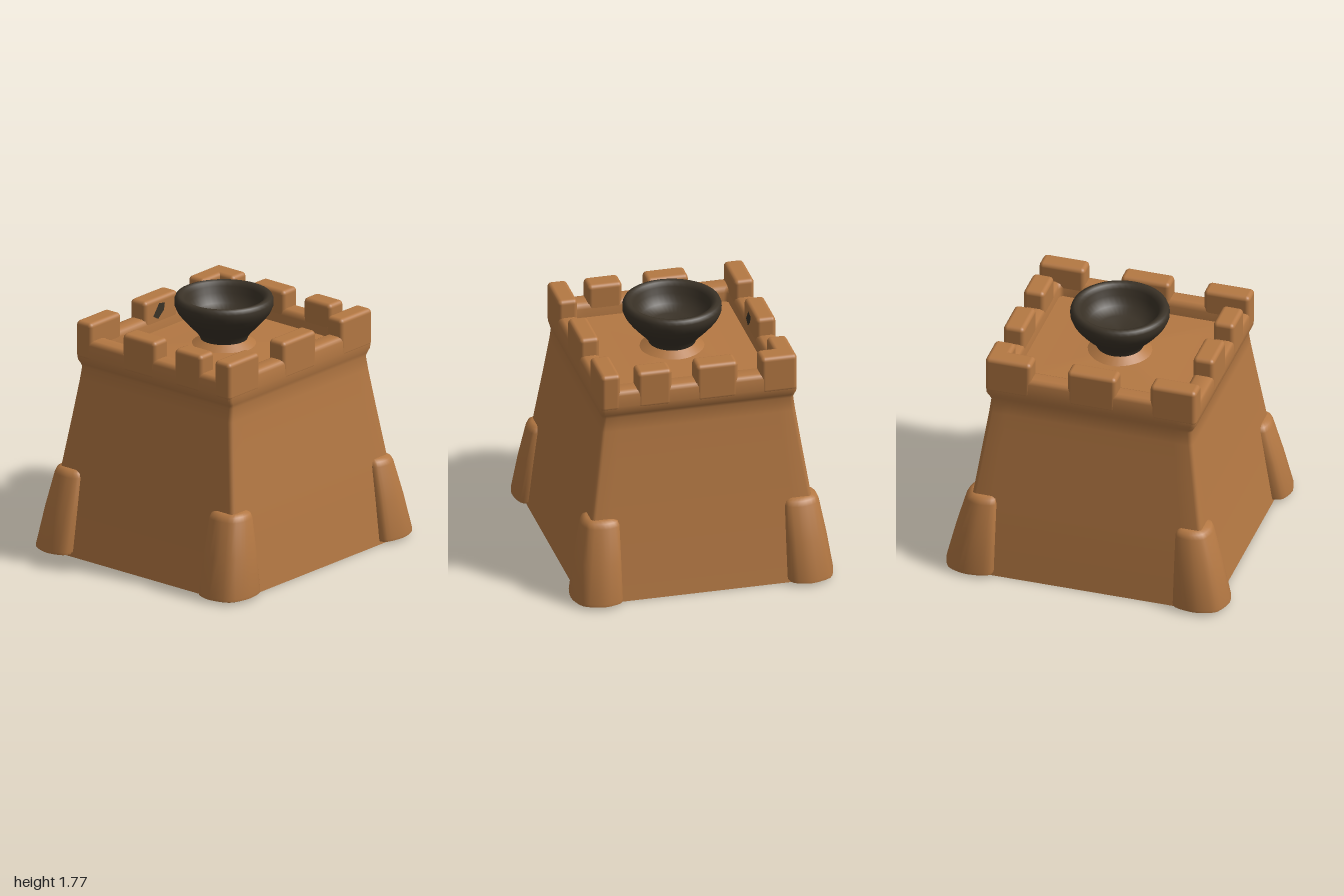
import * as THREE from 'three';
import { toCreasedNormals } from 'three/addons/utils/BufferGeometryUtils.js';
import { RoundedBoxGeometry } from 'three/addons/geometries/RoundedBoxGeometry.js';

// Skin a stack of closed rings (each running from +x towards +z), bottom to top
function loft(rings, crease = 1) {
  const n = rings[0].length, index = [];
  for (let i = 0; i < rings.length - 1; i++)
    for (let j = 0; j < n; j++) {
      const a = i * n + j, b = i * n + (j + 1) % n;
      index.push(a, a + n, b, b, a + n, b + n);
    }
  const g = new THREE.BufferGeometry().setFromPoints(rings.flat());
  g.setIndex(index);
  return toCreasedNormals(g, crease);
}

// Horizontal rounded rectangle with half sizes hx, hz
function rectRing(y, hx, hz, radius = 0.03) {
  const r = Math.min(radius, hx * 0.15, hz * 0.15), pts = [];
  const corners = [[1, 1], [-1, 1], [-1, -1], [1, -1]];
  corners.forEach(([sx, sz], k) => {
    const along = k % 2 === 0;
    const before = new THREE.Vector3(sx * hx * (along ? 1 : 0.82), y, sz * hz * (along ? 0.82 : 1));
    const after = new THREE.Vector3(sx * hx * (along ? 0.82 : 1), y, sz * hz * (along ? 1 : 0.82));
    pts.push(before);
    for (let i = 0; i <= 4; i++) {
      const a = (k + i / 4) * Math.PI / 2;
      pts.push(new THREE.Vector3(sx * (hx - r) + r * Math.cos(a), y, sz * (hz - r) + r * Math.sin(a)));
    }
    pts.push(after);
  });
  return pts;
}

export function createModel() {
  const model = new THREE.Group();
  const clay = new THREE.MeshStandardMaterial({ color: 0xb47843, side: THREE.DoubleSide });
  clay.name = 'orange clay';
  const iron = new THREE.MeshStandardMaterial({ color: 0x3a3227, side: THREE.DoubleSide });
  iron.name = 'dark iron';
  const add = (name, geometry, material, parent = model) => {
    const mesh = new THREE.Mesh(geometry, material);
    mesh.name = name;
    parent.add(mesh);
    return mesh;
  };

  // Tapered tower, open underneath, with parapet and sunken roof: y, half x, half z
  const profile = [
    [0, 0.84, 0.9], [0.3, 0.805, 0.852], [0.6, 0.765, 0.805], [0.95, 0.713, 0.755],
    [1.2, 0.678, 0.72], [1.295, 0.667, 0.709], [1.32, 0.673, 0.72], [1.35, 0.681, 0.738],
    [1.39, 0.682, 0.741], [1.47, 0.68, 0.74], [1.493, 0.672, 0.732], [1.502, 0.65, 0.71],
    [1.502, 0.575, 0.625], [1.49, 0.552, 0.602], [1.46, 0.545, 0.595], [1.4, 0.54, 0.59],
    [1.4, 0.53, 0.58], [1.425, 0.2, 0.2], [1.43, 0.001, 0.001],
  ];
  add('towerBody', loft(profile.map(([y, hx, hz]) => rectRing(y, hx, hz))), clay);

  // Merlons on the parapet
  const merlons = new THREE.Group();
  merlons.name = 'merlons';
  model.add(merlons);
  const merlon = (x0, x1, z0, z1) => {
    const g = new RoundedBoxGeometry(x1 - x0, 0.27, z1 - z0, 3, 0.03);
    add('merlon', g, clay, merlons).position.set((x0 + x1) / 2, 1.493, (z0 + z1) / 2);
  };
  for (const [z0, z1] of [[-0.743, -0.42], [-0.165, 0.18], [0.42, 0.743]]) {
    merlon(-0.683, -0.545, z0, z1);
    merlon(0.545, 0.683, z0, z1);
  }
  for (const [z0, z1] of [[-0.743, -0.595], [0.595, 0.743]]) {
    merlon(-0.27, 0.02, z0, z1);
    merlon(0.19, 0.43, z0, z1);
  }
  merlon(-0.683, -0.43, -0.743, -0.595);

  // Corner buttresses: one outline, shrunk towards its inner corner as it rises
  const outline = new THREE.CatmullRomCurve3(
    [[0.6, 0.65], [0.74, 0.63], [0.87, 0.64], [0.905, 0.72], [0.91, 0.83], [0.86, 0.95],
      [0.72, 1], [0.6, 0.965], [0.572, 0.88], [0.572, 0.72]]
      .map(([x, z]) => new THREE.Vector3(x, 0, z)), true, 'catmullrom', 0.4).getPoints(30).slice(0, -1);
  const footRing = (y, kx, kz, inset = 0) => outline.map(p => {
    const x = 0.57 + (p.x - 0.57) * kx, z = 0.63 + (p.z - 0.63) * kz;
    const cx = 0.57 + 0.17 * kx, cz = 0.63 + 0.18 * kz;
    return new THREE.Vector3(x + (cx - x) * inset, y, z + (cz - z) * inset);
  });
  const buttress = loft([
    footRing(0.005, 1, 1, 0.25), footRing(0.022, 1, 1, 0.02), footRing(0.04, 0.995, 0.99),
    footRing(0.3, 0.88, 0.82), footRing(0.54, 0.75, 0.64), footRing(0.572, 0.74, 0.62, 0.08),
    footRing(0.587, 0.73, 0.6, 0.28), footRing(0.59, 0.73, 0.6, 0.99),
  ]);
  for (const sx of [-1, 1])
    for (const sz of [-1, 1]) add('cornerButtress', buttress, clay).scale.set(sx, 1, sz);

  // Clay seat under the bowl
  const seat = new THREE.CylinderGeometry(0.15, 0.24, 0.06, 32);
  add('bowlSeat', seat, clay).position.y = 1.44;

  // Iron bowl with a thick rolled rim
  const bowl = [[0.15, 1.43], [0.165, 1.48], [0.19, 1.515], [0.245, 1.57], [0.285, 1.615],
    [0.318, 1.66], [0.335, 1.7], [0.336, 1.735], [0.326, 1.761], [0.305, 1.769], [0.28, 1.762],
    [0.262, 1.735], [0.25, 1.69], [0.215, 1.63], [0.15, 1.59], [0, 1.575]];
  add('fireBowl', new THREE.LatheGeometry(bowl.map(p => new THREE.Vector2(...p)), 40), iron);

  // Soot mark on the inner face of one merlon
  const soot = new THREE.Shape([[-0.06, -0.03], [-0.01, -0.06], [0.05, -0.01], [0.06, 0.04], [0, 0.05]]
    .map(p => new THREE.Vector2(...p)));
  const mark = add('sootMark', new THREE.ShapeGeometry(soot), iron);
  mark.position.set(-0.541, 1.54, 0.04);
  mark.rotation.y = Math.PI / 2;

  return model;
}
